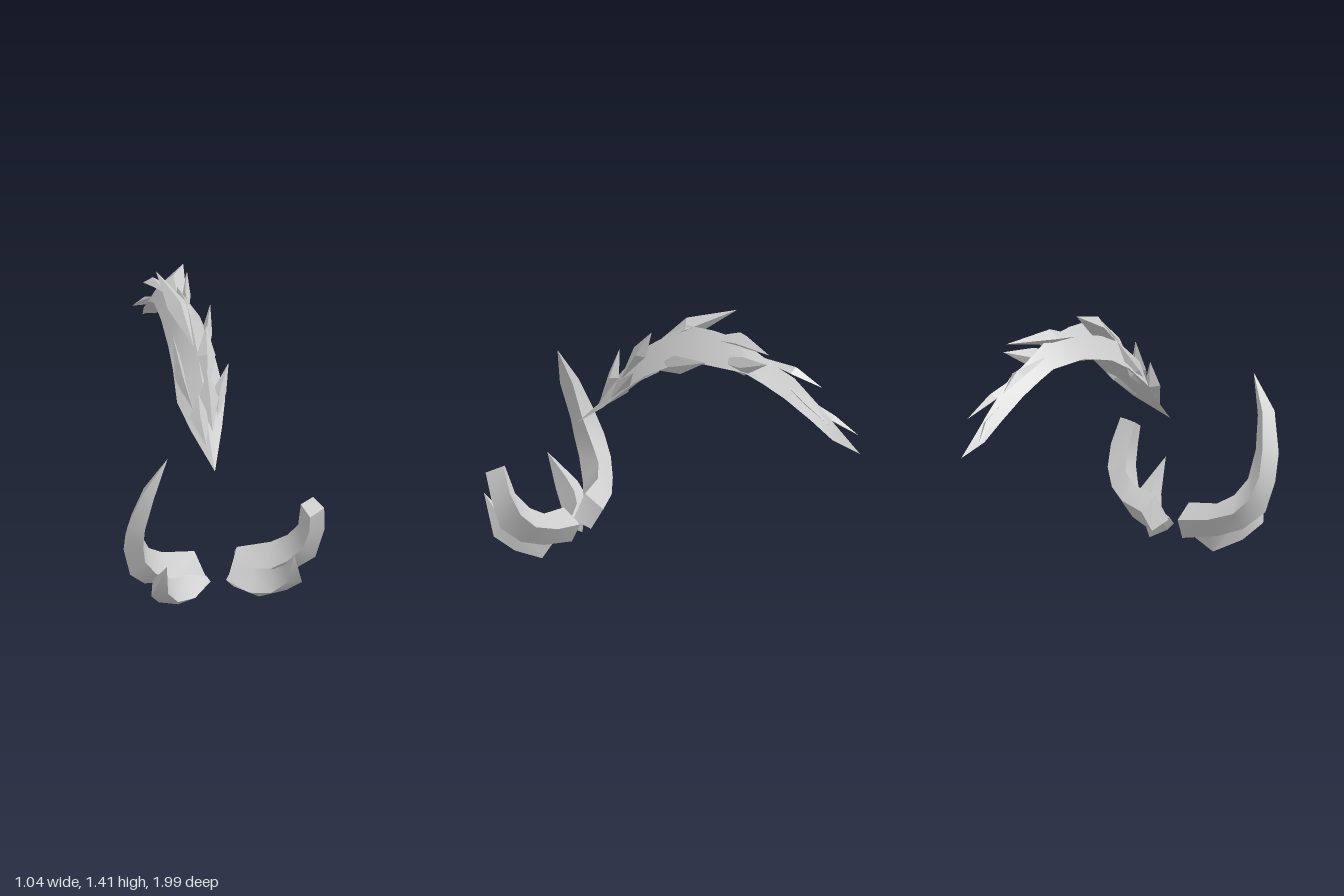
import * as THREE from 'three';
import { toCreasedNormals } from 'three/addons/utils/BufferGeometryUtils.js';

const material = new THREE.MeshStandardMaterial({ color: 0xcccccc });

// Closed skin over rings of corners; a ring with one point is a tip.
function loft(name, rings, crease) {
  const n = Math.max(...rings.map((r) => r.length));
  const full = rings.map((r) => (r.length === 1 ? Array(n).fill(r[0]) : r).map((p) => new THREE.Vector3(...p)));
  const tris = [];
  const add = (a, b, c) => {
    if (a.distanceTo(b) > 1e-5 && b.distanceTo(c) > 1e-5 && a.distanceTo(c) > 1e-5) tris.push([a, b, c]);
  };
  for (let i = 0; i < full.length - 1; i++) {
    for (let j = 0; j < n; j++) {
      const k = (j + 1) % n;
      add(full[i][j], full[i][k], full[i + 1][k]);
      add(full[i][j], full[i + 1][k], full[i + 1][j]);
    }
  }
  const first = full[0], last = full[full.length - 1];
  for (let j = 1; j < n - 1; j++) {
    add(first[0], first[j + 1], first[j]);
    add(last[0], last[j], last[j + 1]);
  }
  // Turn the skin outward, whichever way the rings run
  const volume = tris.reduce((s, [a, b, c]) => s + a.dot(b.clone().cross(c)), 0);
  const points = tris.flatMap(([a, b, c]) => (volume < 0 ? [a, c, b] : [a, b, c]));
  const geometry = toCreasedNormals(new THREE.BufferGeometry().setFromPoints(points), crease);
  const mesh = new THREE.Mesh(geometry, material);
  mesh.name = name;
  return mesh;
}

const mirror = (rings) => rings.map((r) => r.map(([x, y, z]) => [-x, y, z]));

// Tusk rings on the left side: inner, front, outer and rear corner
const bigTusk = [
  [[0.11, 0.26, 0.65], [0.06, 0.13, 0.69], [0.10, 0.08, 0.61], [0.12, 0.19, 0.55]],
  [[0.28, 0.28, 0.67], [0.24, 0.15, 0.73], [0.28, 0.11, 0.67], [0.28, 0.21, 0.59]],
  [[0.36, 0.33, 0.71], [0.34, 0.22, 0.79], [0.39, 0.15, 0.74], [0.40, 0.25, 0.65]],
  [[0.40, 0.41, 0.77], [0.41, 0.32, 0.85], [0.48, 0.24, 0.81], [0.47, 0.33, 0.70]],
  [[0.40, 0.48, 0.80], [0.43, 0.42, 0.89], [0.52, 0.40, 0.84], [0.49, 0.44, 0.75]],
  [[0.40, 0.55, 0.83], [0.43, 0.51, 0.91], [0.51, 0.54, 0.88], [0.47, 0.57, 0.80]],
  [[0.38, 0.72, 0.87], [0.39, 0.71, 0.95], [0.44, 0.74, 0.93], [0.42, 0.74, 0.86]],
  [[0.31, 0.92, 0.92]],
];
const smallTusk = [
  [[0.06, 0.14, 0.70], [0.04, 0.11, 0.71], [0.08, 0.07, 0.71], [0.10, 0.13, 0.67]],
  [[0.17, 0.17, 0.73], [0.14, 0.07, 0.80], [0.21, 0.005, 0.72], [0.20, 0.12, 0.70]],
  [[0.27, 0.19, 0.80], [0.24, 0.08, 0.85], [0.33, 0.07, 0.81], [0.32, 0.16, 0.76]],
  [[0.31, 0.24, 0.87], [0.31, 0.17, 0.93], [0.39, 0.15, 0.90], [0.37, 0.21, 0.84]],
  [[0.33, 0.35, 0.99]],
];

// Mane spine: ridge z, y, then edge z, y and half width
const spine = [
  [0.50, 0.82, 0.44, 0.83, 0.08],
  [0.40, 0.98, 0.32, 0.94, 0.125],
  [0.25, 1.16, 0.18, 1.06, 0.115],
  [0.00, 1.33, 0.05, 1.13, 0.11],
  [-0.15, 1.33, -0.15, 1.18, 0.10],
  [-0.31, 1.31, -0.38, 1.17, 0.085],
  [-0.50, 1.21, -0.48, 1.13, 0.08],
  [-0.62, 1.16, -0.60, 1.07, 0.07],
  [-0.76, 1.04, -0.75, 0.97, 0.055],
  [-0.89, 0.92, -0.86, 0.88, 0.035],
];

// Tufts: root, shoulder, tip, half width and half thickness at the shoulder
const tufts = [
  [[-0.02, 0.78, 0.53], [-0.04, 0.91, 0.45], [-0.04, 1.03, 0.43], 0.05, 0.03],
  [[0.02, 0.84, 0.49], [0.02, 0.99, 0.41], [0.015, 1.14, 0.38], 0.05, 0.03],
  [[0.05, 0.84, 0.43], [0.09, 0.97, 0.32], [0.165, 1.085, 0.22], 0.04, 0.04],
  [[-0.05, 0.88, 0.42], [-0.09, 1.04, 0.25], [-0.10, 1.22, 0.10], 0.03, 0.05],
  [[0.02, 0.96, 0.38], [0.04, 1.15, 0.25], [0.06, 1.28, 0.17], 0.05, 0.04],
  [[-0.01, 1.18, 0.20], [-0.04, 1.31, 0.00], [-0.11, 1.42, -0.23], 0.06, 0.05],
  [[0.06, 1.08, 0.18], [0.10, 1.15, 0.00], [0.165, 1.22, -0.20], 0.03, 0.05],
  [[-0.02, 1.27, -0.08], [0.00, 1.31, -0.31], [0.10, 1.30, -0.53], 0.06, 0.04],
  [[0.04, 1.19, -0.15], [0.07, 1.20, -0.36], [0.12, 1.255, -0.53], 0.03, 0.05],
  [[-0.03, 1.23, -0.35], [-0.04, 1.18, -0.60], [-0.06, 1.11, -0.75], 0.04, 0.025],
  [[0.02, 1.15, -0.55], [0.04, 1.07, -0.71], [0.08, 0.98, -0.86], 0.03, 0.025],
  [[-0.02, 1.05, -0.70], [-0.03, 0.97, -0.83], [-0.07, 0.89, -0.95], 0.025, 0.02],
];

function tuft([root, [x, y, z], tip, w, t]) {
  // Thickness is measured at right angles to the run of the tuft
  const dy = tip[1] - root[1], dz = tip[2] - root[2], len = Math.hypot(dy, dz);
  const uy = (-dz / len) * t, uz = (dy / len) * t;
  const ring = [[x, y + uy, z + uz], [x + w, y, z], [x, y - uy, z - uz], [x - w, y, z]];
  return loft('maneTuft', [[root], ring, [tip]], 0.3);
}

export function createModel() {
  const model = new THREE.Group();
  model.name = 'tusksAndMane';

  // Left big tusk is broken off, the right one is whole
  model.add(
    loft('leftBrokenTusk', bigTusk.slice(0, 6), 0.7),
    loft('rightTusk', mirror(bigTusk), 0.7),
    loft('leftSmallTusk', smallTusk, 0.7),
    loft('rightSmallTusk', mirror(smallTusk), 0.7),
  );

  // Mane: arched body with overlapping pointed tufts
  const mane = new THREE.Group();
  mane.name = 'mane';
  const rings = spine.map(([tz, ty, ez, ey, w]) => [[0, ty, tz], [w, ey, ez], [0, ey + 0.01, ez], [-w, ey, ez]]);
  mane.add(loft('maneBody', [[[0, 0.685, 0.635]], ...rings, [[0, 0.82, -1]]], 0.5));
  tufts.forEach((t) => mane.add(tuft(t)));
  model.add(mane);
  return model;
}
